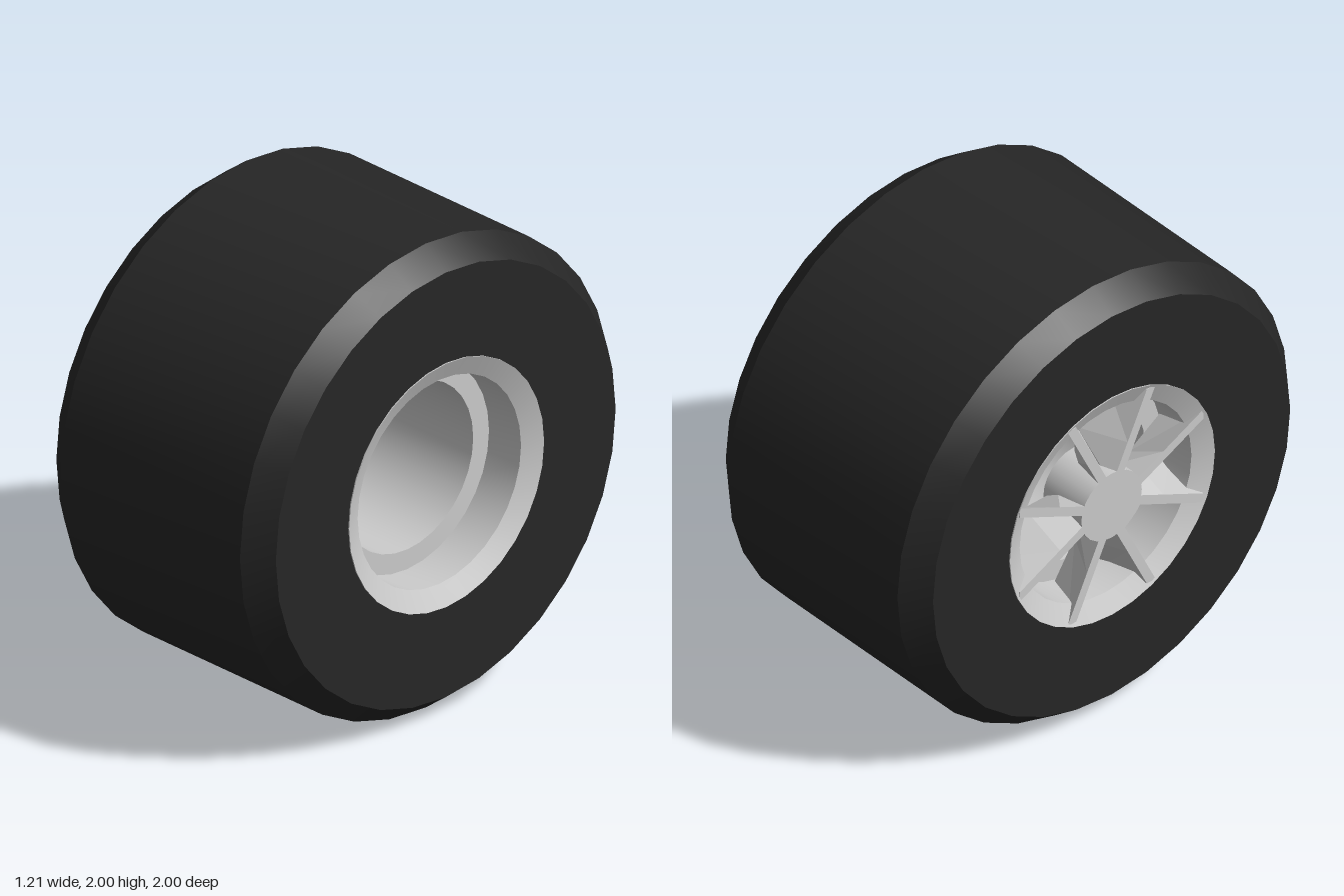
import * as THREE from 'three';
import { toCreasedNormals } from 'three/addons/utils/BufferGeometryUtils.js';

const SIDES = 32;

// Profile points are [radius, position along the axle]; the axle runs along x.
function turned(name, profile, material) {
  const points = profile.map(([r, x]) => new THREE.Vector2(r, x));
  const lathe = new THREE.LatheGeometry(points, SIDES);
  lathe.rotateZ(-Math.PI / 2);
  const mesh = new THREE.Mesh(toCreasedNormals(lathe, 0.35), material);
  mesh.name = name;
  return mesh;
}

// One slanted arm of a V-shaped spoke pair; side is +1 or -1.
function armGeometry(side) {
  const front = -0.6, back = -0.4;
  const rings = [0.1, 0.265, 0.47].map((y) => {
    const outer = 0.48 * y;
    const inner = Math.max(0, 0.647 * (y - 0.265));
    const width = 0.045;
    return [[front, outer], [front, outer - width], [back, inner], [back, inner + 0.012]]
      .map(([x, z]) => [x, y, side * z]);
  });
  const positions = [];
  const quad = (a, b, c, d) => {
    const corners = side > 0 ? [a, b, c, a, c, d] : [a, c, b, a, d, c];
    corners.forEach((p) => positions.push(...p));
  };
  for (let i = 0; i < rings.length - 1; i++) {
    for (let j = 0; j < 4; j++) {
      const k = (j + 1) % 4;
      quad(rings[i][j], rings[i + 1][j], rings[i + 1][k], rings[i][k]);
    }
  }
  // Outer end
  const end = rings[rings.length - 1];
  quad(end[0], end[3], end[2], end[1]);
  const geometry = new THREE.BufferGeometry();
  geometry.setAttribute('position', new THREE.Float32BufferAttribute(positions, 3));
  geometry.computeVertexNormals();
  return geometry;
}

export function createModel() {
  const model = new THREE.Group();
  model.name = 'wheel';
  const rubber = new THREE.MeshStandardMaterial({ color: 0x262626 });
  const metal = new THREE.MeshStandardMaterial({ color: 0xcccccc });

  // Wide tire with bevelled shoulders
  model.add(turned('tire', [
    [0.52, -0.6], [0.915, -0.6], [1, -0.49], [1, 0.49], [0.915, 0.6], [0.52, 0.6],
  ], rubber));

  // Stepped rim: outer seat, conical lips, recesses and inner barrel
  model.add(turned('rim', [
    [0.525, -0.605], [0.525, 0.605], [0.44, 0.565], [0.44, 0.39], [0.355, 0.39],
    [0.355, -0.39], [0.44, -0.39], [0.44, -0.565], [0.525, -0.605],
  ], metal));

  // Hub
  const hubGeometry = new THREE.CylinderGeometry(0.155, 0.155, 0.22, 24);
  hubGeometry.rotateZ(-Math.PI / 2);
  const hub = new THREE.Mesh(hubGeometry, metal);
  hub.name = 'hub';
  hub.position.x = -0.49;
  model.add(hub);

  // Four V-shaped spoke pairs
  const arms = [armGeometry(1), armGeometry(-1)];
  for (let i = 0; i < 4; i++) {
    const spoke = new THREE.Group();
    spoke.name = 'spokePair';
    for (const arm of arms) {
      const mesh = new THREE.Mesh(arm, metal);
      mesh.name = 'spokeArm';
      spoke.add(mesh);
    }
    spoke.rotation.x = (i * Math.PI) / 2;
    model.add(spoke);
  }

  model.position.y = 1;
  const root = new THREE.Group();
  root.name = 'wheelModel';
  root.add(model);
  return root;
}
